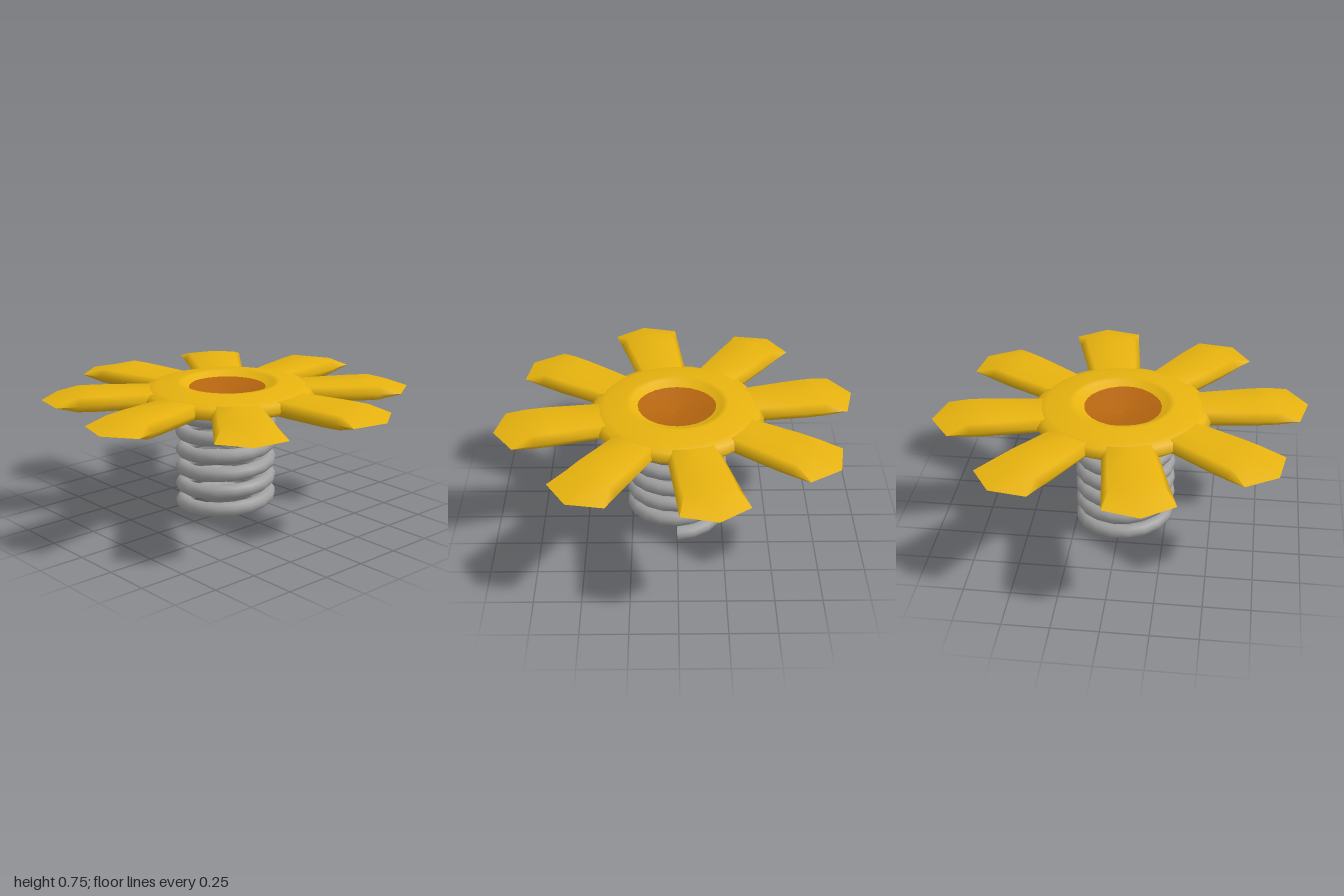
import * as THREE from 'three';

const yellow = new THREE.MeshStandardMaterial({ color: 0xe6b20f });
yellow.name = 'golden yellow';
const orange = new THREE.MeshStandardMaterial({ color: 0xb5650f });
orange.name = 'burnt orange';
const grey = new THREE.MeshStandardMaterial({ color: 0xa0a0a0 });
grey.name = 'spring grey';

const MID = 0.69; // height of the flower's rim plane

function part(name, geometry, material) {
  const mesh = new THREE.Mesh(geometry, material);
  mesh.name = name;
  return mesh;
}

function lathe(points, segments) {
  return new THREE.LatheGeometry(points.map(([r, y]) => new THREE.Vector2(r, y)), segments);
}

// Rising coil: starts on the model's left and winds towards the back
class Helix extends THREE.Curve {
  constructor(radius, pitch, turns, startY) {
    super();
    Object.assign(this, { radius, pitch, turns, startY });
  }
  getPoint(t, target = new THREE.Vector3()) {
    const a = t * this.turns * Math.PI * 2;
    return target.set(
      Math.cos(a) * this.radius,
      this.startY + t * this.turns * this.pitch,
      -Math.sin(a) * this.radius
    );
  }
}

// Petal lofted along +x from sections with thin side edges and a pointed end
function petalGeometry() {
  // x at the sides, x at the middle, half width, inset of the top, half thickness
  const sections = [
    [0.36, 0.36, 0.135, 0.03, 0.038],
    [0.46, 0.46, 0.144, 0.03, 0.04],
    [0.7, 0.7, 0.162, 0.03, 0.04],
    [0.8, 0.84, 0.17, 0.035, 0.038],
    [0.918, 1.0, 0.18, 0, 0],
  ];
  const ring = 8;
  const pos = [];
  const index = [];
  for (const [xs, xm, w, inset, h] of sections) {
    const t = w - inset;
    const loop = [[0, w], [h, t], [h, 0], [h, -t], [0, -w], [-h, -t], [-h, 0], [-h, t]];
    for (const [y, z] of loop) pos.push(xm + (xs - xm) * (Math.abs(z) / w), y, z);
  }
  for (let i = 0; i < sections.length - 1; i++) {
    for (let j = 0; j < ring; j++) {
      const a = i * ring + j;
      const b = i * ring + (j + 1) % ring;
      index.push(a, a + ring, b, b, a + ring, b + ring);
    }
  }
  const g = new THREE.BufferGeometry();
  g.setAttribute('position', new THREE.Float32BufferAttribute(pos, 3));
  g.setIndex(index);
  g.computeVertexNormals();
  return g;
}

export function createModel() {
  const model = new THREE.Group();
  model.name = 'springFlower';

  // Coil spring stem with closed ends
  const spring = new THREE.Group();
  spring.name = 'spring';
  spring.position.x = -0.02;
  const R = 0.237, r = 0.04, turns = 6, pitch = 0.1;
  const helix = new THREE.TubeGeometry(new Helix(R, pitch, turns, r), turns * 18, r, 10, false);
  spring.add(part('coil', helix, grey));
  const cap = part('coilEnd', new THREE.CircleGeometry(r, 10), grey);
  cap.position.set(R, r, 0);
  spring.add(cap);
  model.add(spring);

  // Flower head
  const flower = new THREE.Group();
  flower.name = 'flower';
  flower.scale.set(1.018, 1, 0.984);
  model.add(flower);

  // Hub with a dished top
  const hub = lathe([
    [0, 0.62], [0.25, 0.62], [0.4, 0.645], [0.45, 0.66], [0.478, MID],
    [0.45, 0.722], [0.4, 0.736], [0.28, 0.755], [0.25, 0.752], [0.2, 0.715], [0, 0.665],
  ], 32);
  flower.add(part('hub', hub, yellow));

  // Eight petals
  const petal = petalGeometry();
  for (let i = 0; i < 8; i++) {
    const mesh = part('petal', petal, yellow);
    mesh.position.y = MID;
    mesh.rotation.y = ((i + 0.25) * Math.PI) / 4;
    flower.add(mesh);
  }

  // Shallow bowl in the middle of the hub
  const bowl = part('centre', lathe([[0.215, 0.728], [0.15, 0.711], [0.08, 0.693], [0, 0.682]], 24), orange);
  bowl.position.x = -0.015;
  flower.add(bowl);

  return model;
}
